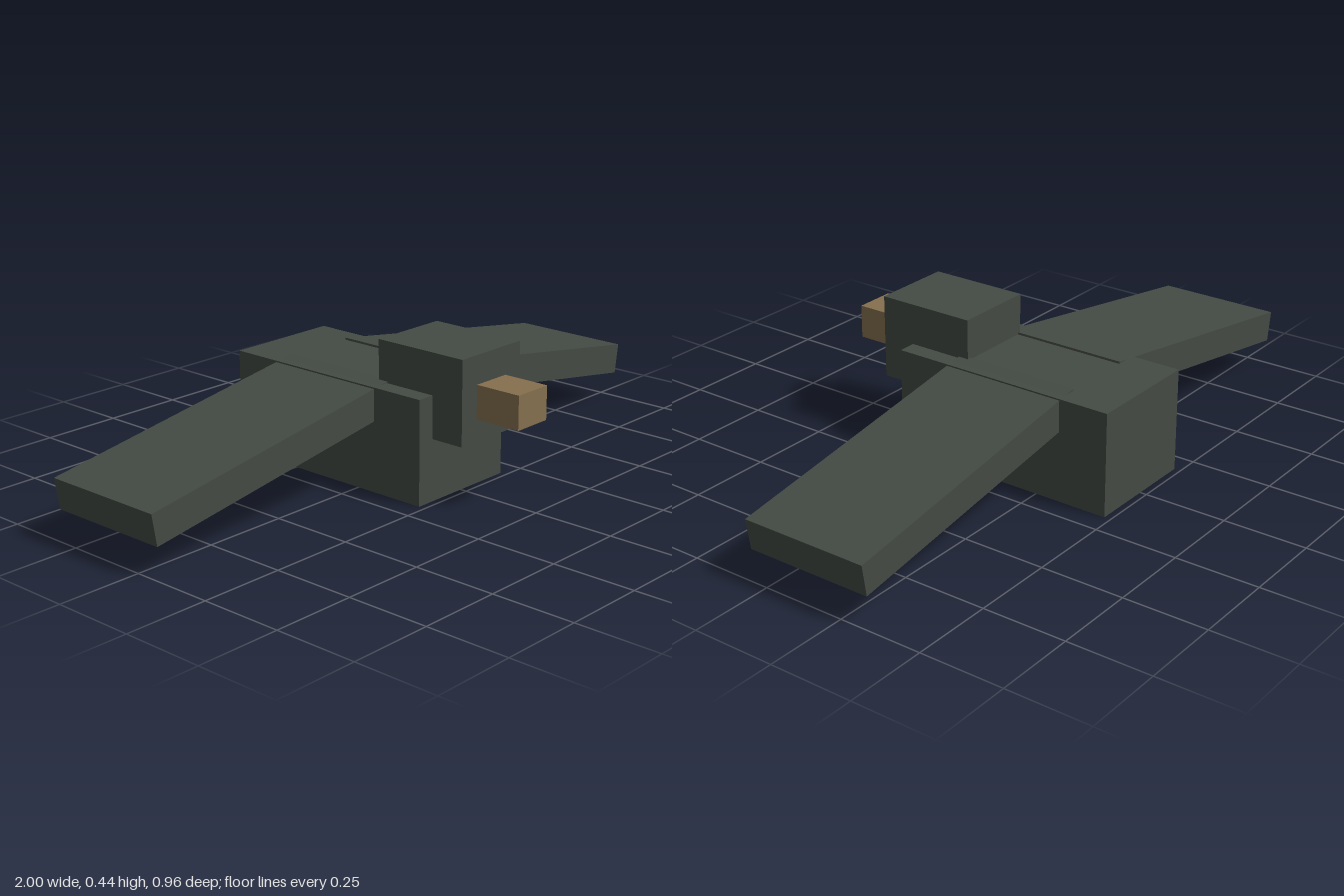
import * as THREE from 'three';

export function createModel() {
  const model = new THREE.Group();
  model.name = 'bird';

  const plumage = new THREE.MeshStandardMaterial({ color: 0x444a44 });
  plumage.name = 'dark plumage';
  const horn = new THREE.MeshStandardMaterial({ color: 0x86704f });
  horn.name = 'tan beak';

  function box(name, size, position, material) {
    const mesh = new THREE.Mesh(new THREE.BoxGeometry(...size), material);
    mesh.name = name;
    mesh.position.set(...position);
    model.add(mesh);
    return mesh;
  }

  // Body, head and beak along the centre line
  box('body', [0.36, 0.312, 0.71], [0, 0.156, -0.125], plumage);
  box('head', [0.25, 0.25, 0.305], [0, 0.31, 0.1825], plumage);
  box('beak', [0.124, 0.1, 0.145], [0, 0.3, 0.4075], horn);

  // Wings drooping outwards; their inner edges just break the top of the back
  for (const [name, side] of [['leftWing', 1], ['rightWing', -1]]) {
    const wing = box(name, [0.897, 0.094, 0.387], [side * 0.55, 0.2016, -0.1315], plumage);
    wing.rotation.z = -side * Math.PI / 20;
  }

  return model;
}
